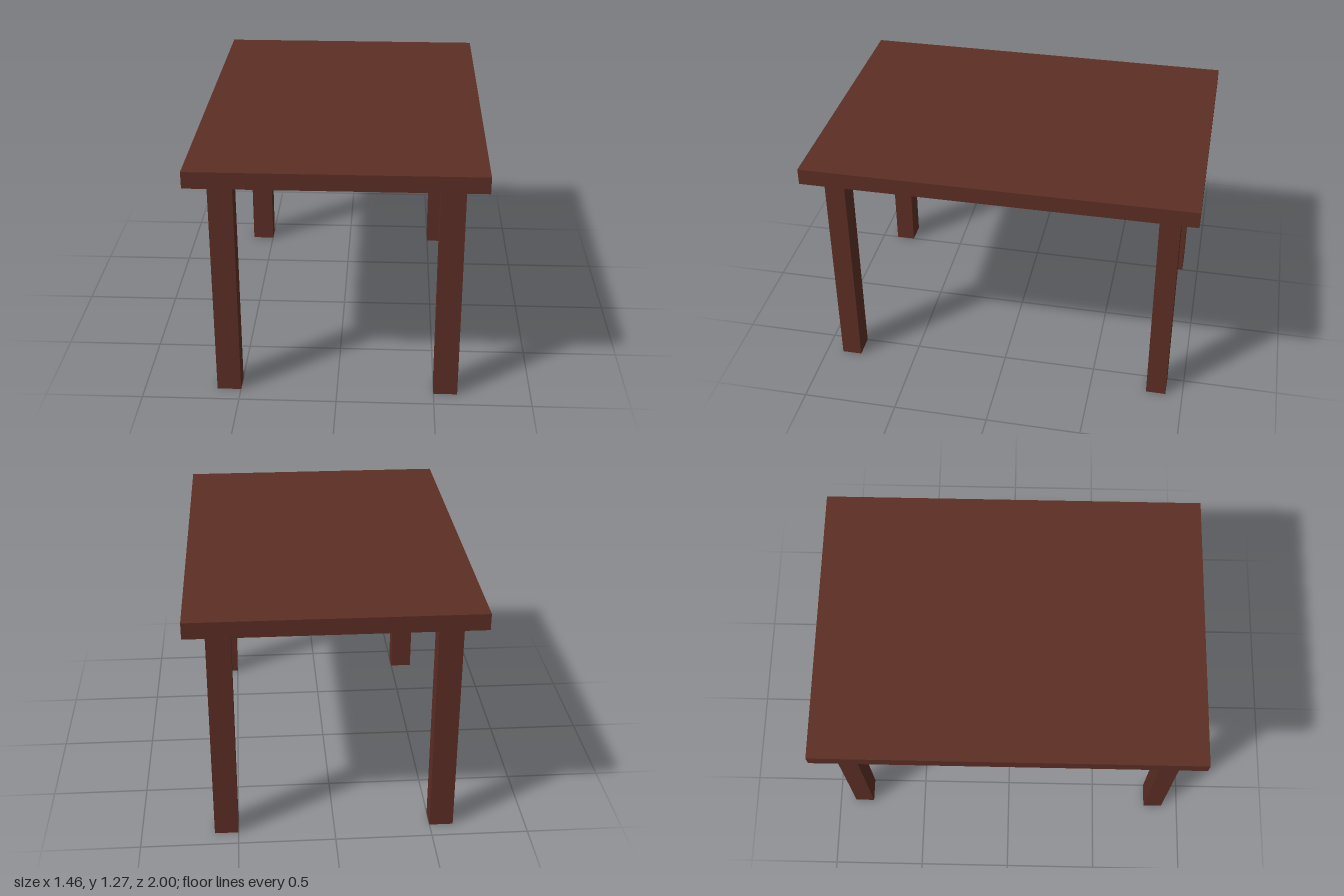
import * as THREE from 'three';

export function createModel() {
  const model = new THREE.Group();
  model.name = 'table';

  const wood = new THREE.MeshStandardMaterial({ color: 0x5c2e24 });
  wood.name = 'dark reddish wood';

  const HEIGHT = 1.275, LEG_HEIGHT = 1.19;

  function addBox(name, w, h, d, x, y, z) {
    const mesh = new THREE.Mesh(new THREE.BoxGeometry(w, h, d), wood);
    mesh.name = name;
    mesh.position.set(x, y, z);
    model.add(mesh);
  }

  // Flat slab top
  const thickness = HEIGHT - LEG_HEIGHT;
  addBox('tableTop', 1.455, thickness, 2, 0, LEG_HEIGHT + thickness / 2, 0);

  // Four straight legs, inset from the corners
  for (const [side, sx] of [['Left', 1], ['Right', -1]]) {
    for (const [end, sz] of [['front', 1], ['back', -1]]) {
      addBox(`${end}${side}Leg`, 0.123, LEG_HEIGHT, 0.105, sx * 0.561, LEG_HEIGHT / 2, sz * 0.857);
    }
  }

  return model;
}
